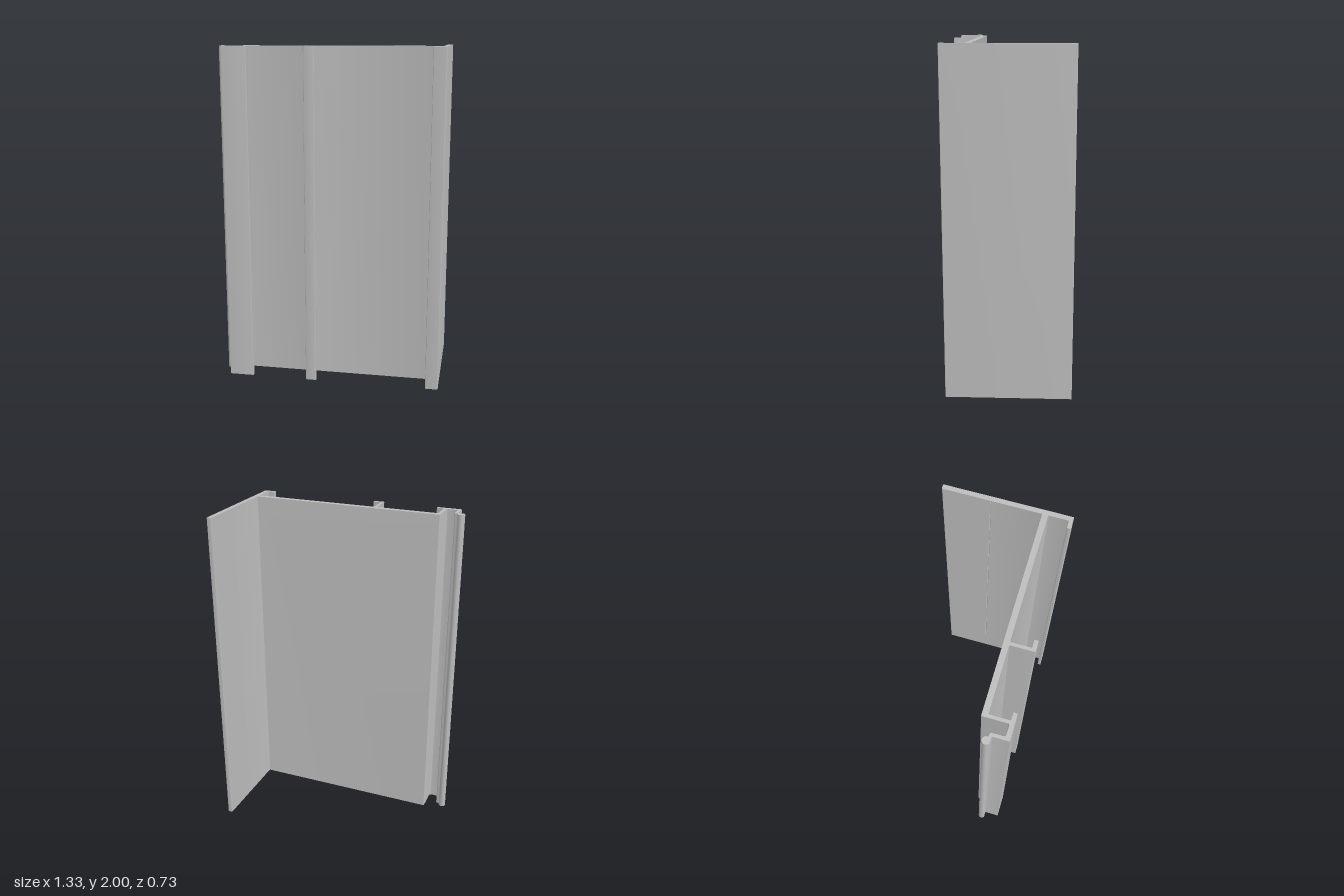
import * as THREE from 'three';
import { toCreasedNormals } from 'three/addons/utils/BufferGeometryUtils.js';

const HEIGHT = 2;

// Adds corners [x, z, radius] to the outline, rounding each that has a radius.
// The outline is drawn with z pointing down, so shape y = -z.
function addCorners(shape, corners, before, after) {
  corners.forEach(([x, z, r = 0], i) => {
    const corner = new THREE.Vector2(x, -z);
    const toward = (p) => {
      const d = new THREE.Vector2(p[0], -p[1]).sub(corner);
      return d.setLength(Math.min(r, d.length() * 0.5)).add(corner);
    };
    if (!r) {
      shape.lineTo(corner.x, corner.y);
      return;
    }
    const a = toward(corners[i - 1] || before);
    const b = toward(corners[i + 1] || after);
    shape.lineTo(a.x, a.y);
    shape.quadraticCurveTo(corner.x, corner.y, b.x, b.y);
  });
}

export function createModel() {
  const group = new THREE.Group();
  group.name = 'extrudedProfile';
  const metal = new THREE.MeshStandardMaterial({ color: 0xbcbcbc });
  metal.name = 'plain grey metal';

  const e = 0.004; // small edge rounding
  const f = 0.006; // inner fillet
  const start = [0.635, -0.35];
  const beadStart = [-0.635, 0.272];
  const beadEnd = [-0.622, 0.257];

  const outline = new THREE.Shape();
  outline.moveTo(start[0], -start[1]);
  addCorners(outline, [
    // side flange and its foot
    [0.635, -0.363, e], [0.663, -0.363, e], [0.663, 0.363, e],
    [0.588, 0.363, e], [0.588, 0.341, e], [0.635, 0.341, f],
    // web front face and middle hooked leg
    [0.635, 0.227, e], [-0.121, 0.227, e], [-0.121, 0.341, f],
    [-0.075, 0.341, e], [-0.075, 0.363, e], [-0.139, 0.363, e], [-0.139, 0.227, e],
    // end leg, foot and outer lip
    [-0.514, 0.227, e], [-0.514, 0.341, e], [-0.471, 0.341, e],
    [-0.471, 0.363, e], [-0.617, 0.363], [-0.617, 0.272, e], beadStart,
  ], start, beadStart);

  // round bead on the lip
  const rad = THREE.MathUtils.degToRad;
  outline.absarc(-0.643, -0.252, 0.0215, rad(-68), rad(-373), true);

  addCorners(outline, [
    // neck, channel and back of the web
    beadEnd, [-0.617, 0.259], [-0.599, 0.259, 0.012], [-0.599, 0.338, 0.012],
    [-0.532, 0.338, 0.012], [-0.532, 0.195, e], [0.635, 0.195, e],
    // fine score line on the flange
    [0.635, -0.086], [0.638, -0.089], [0.635, -0.092],
  ], beadEnd, start);
  outline.closePath();

  const extrusion = new THREE.ExtrudeGeometry(outline, {
    depth: HEIGHT, bevelEnabled: false, curveSegments: 6,
  });
  extrusion.rotateX(-Math.PI / 2);

  const profile = new THREE.Mesh(toCreasedNormals(extrusion, rad(35)), metal);
  profile.name = 'flangedPanelWithHookedLegs';
  group.add(profile);
  return group;
}
